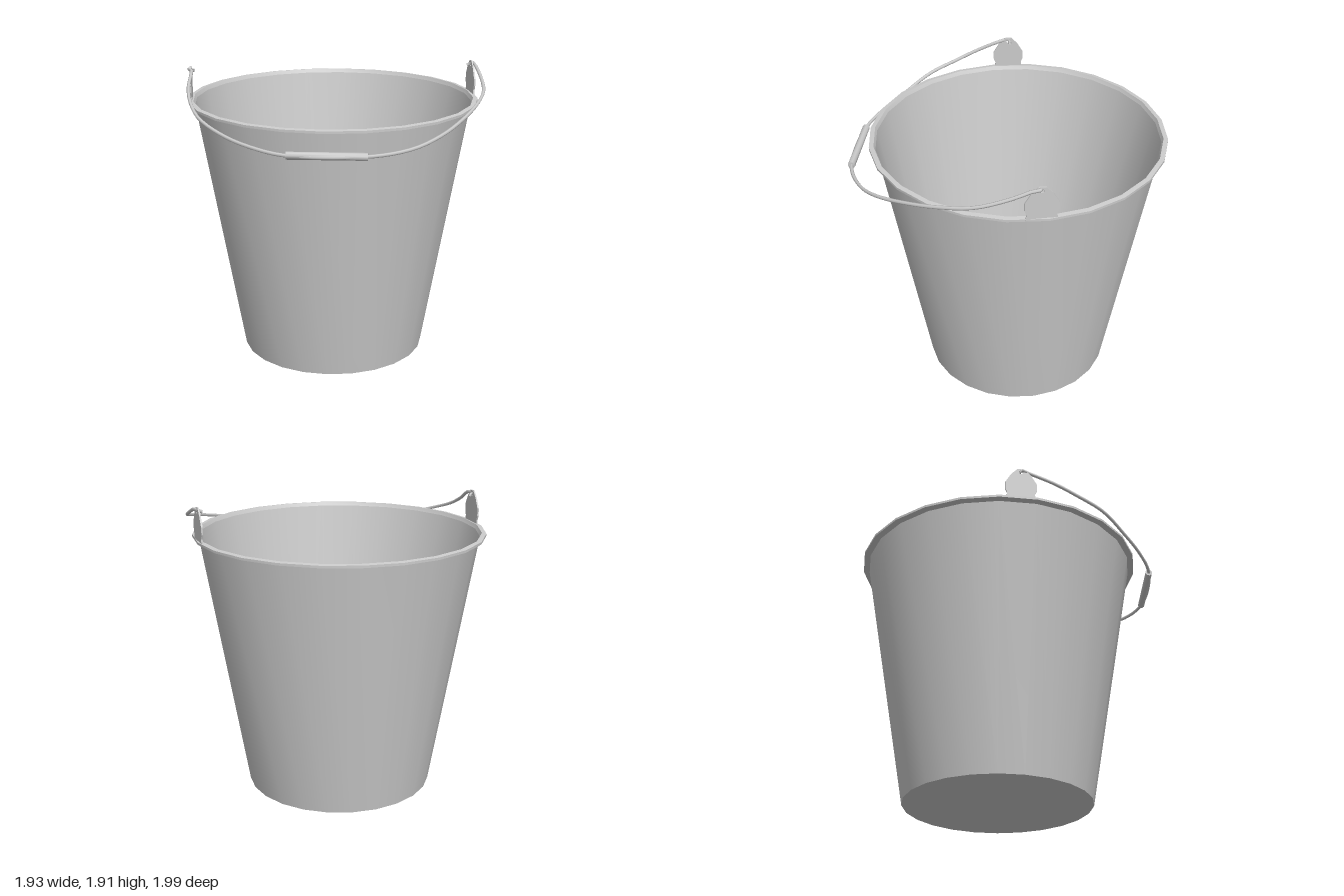
import * as THREE from 'three';
import { toCreasedNormals } from 'three/addons/utils/BufferGeometryUtils.js';

const SIDES = 24;
const CENTRE = new THREE.Vector3(-0.027, 0, -0.062);

export function createModel() {
  const model = new THREE.Group();
  model.name = 'bucket';
  const material = new THREE.MeshStandardMaterial({ color: 0xcccccc, side: THREE.DoubleSide });

  const add = (name, geometry, parent = model) => {
    const mesh = new THREE.Mesh(geometry, material);
    mesh.name = name;
    parent.add(mesh);
    return mesh;
  };
  const lathe = (points) => toCreasedNormals(
    new THREE.LatheGeometry(points.map(([r, y]) => new THREE.Vector2(r, y)), SIDES), 0.6);

  // Tapered wall with floor, and the folded rim around its mouth
  add('body', lathe([[0, 0], [0.608, 0], [0.897, 1.685]])).position.copy(CENTRE);
  add('rim', lathe([[0.897, 1.685], [0.937, 1.69], [0.937, 1.705], [0.908, 1.709], [0.897, 1.685]]))
    .position.copy(CENTRE);

  // Ears: thin upright plates, tangent to the rim, pierced for the handle
  const half = [[0.092, 0], [0.088, 0.035], [0.1, 0.065], [0.1, 0.112], [0.062, 0.175], [0.022, 0.216]];
  const outline = [...half, ...half.map(([x, y]) => [-x, y]).reverse()];
  const earShape = new THREE.Shape(outline.map(([x, y]) => new THREE.Vector2(x, y)));
  const hole = new THREE.Path();
  hole.absarc(0, 0.192, 0.013, 0, Math.PI * 2, true);
  earShape.holes.push(hole);
  const earGeometry = new THREE.ExtrudeGeometry(earShape, { depth: 0.01, bevelEnabled: false, curveSegments: 4 });
  earGeometry.translate(0, 0, -0.005);
  for (const [name, x, z] of [['rightEar', -0.868, 0.302], ['leftEar', 0.791, -0.484]]) {
    const ear = add(name, earGeometry);
    ear.position.set(x, 1.697, z);
    ear.rotation.y = Math.atan2(x - CENTRE.x, z - CENTRE.z);
  }

  // Wire handle, hooked through both ears and resting forward over the rim
  const path = [
    [-0.85, 1.885, 0.28], [-0.885, 1.897, 0.3], [-0.845, 1.9, 0.335], [-0.79, 1.825, 0.5],
    [-0.725, 1.765, 0.62], [-0.595, 1.7, 0.77], [-0.4, 1.638, 0.87], [-0.195, 1.602, 0.94],
    [0.035, 1.58, 0.97], [0.49, 1.583, 0.855], [0.708, 1.605, 0.69], [0.833, 1.652, 0.52],
    [0.912, 1.705, 0.29], [0.95, 1.752, 0.07], [0.946, 1.795, -0.14], [0.882, 1.853, -0.33],
    [0.815, 1.9, -0.46], [0.795, 1.897, -0.495], [0.765, 1.885, -0.475],
  ].map((p) => new THREE.Vector3(...p));
  const handle = new THREE.Group();
  handle.name = 'handle';
  model.add(handle);
  const curve = new THREE.CatmullRomCurve3(path, false, 'centripetal');
  add('wire', new THREE.TubeGeometry(curve, 60, 0.011, 6), handle);

  // Grip sleeve on the straight middle of the wire
  const [a, b] = [path[8], path[9]];
  const grip = add('grip', toCreasedNormals(
    new THREE.CylinderGeometry(0.023, 0.023, a.distanceTo(b), 8), 0.9), handle);
  grip.position.copy(a).add(b).multiplyScalar(0.5);
  grip.quaternion.setFromUnitVectors(new THREE.Vector3(0, 1, 0), b.clone().sub(a).normalize());

  return model;
}
